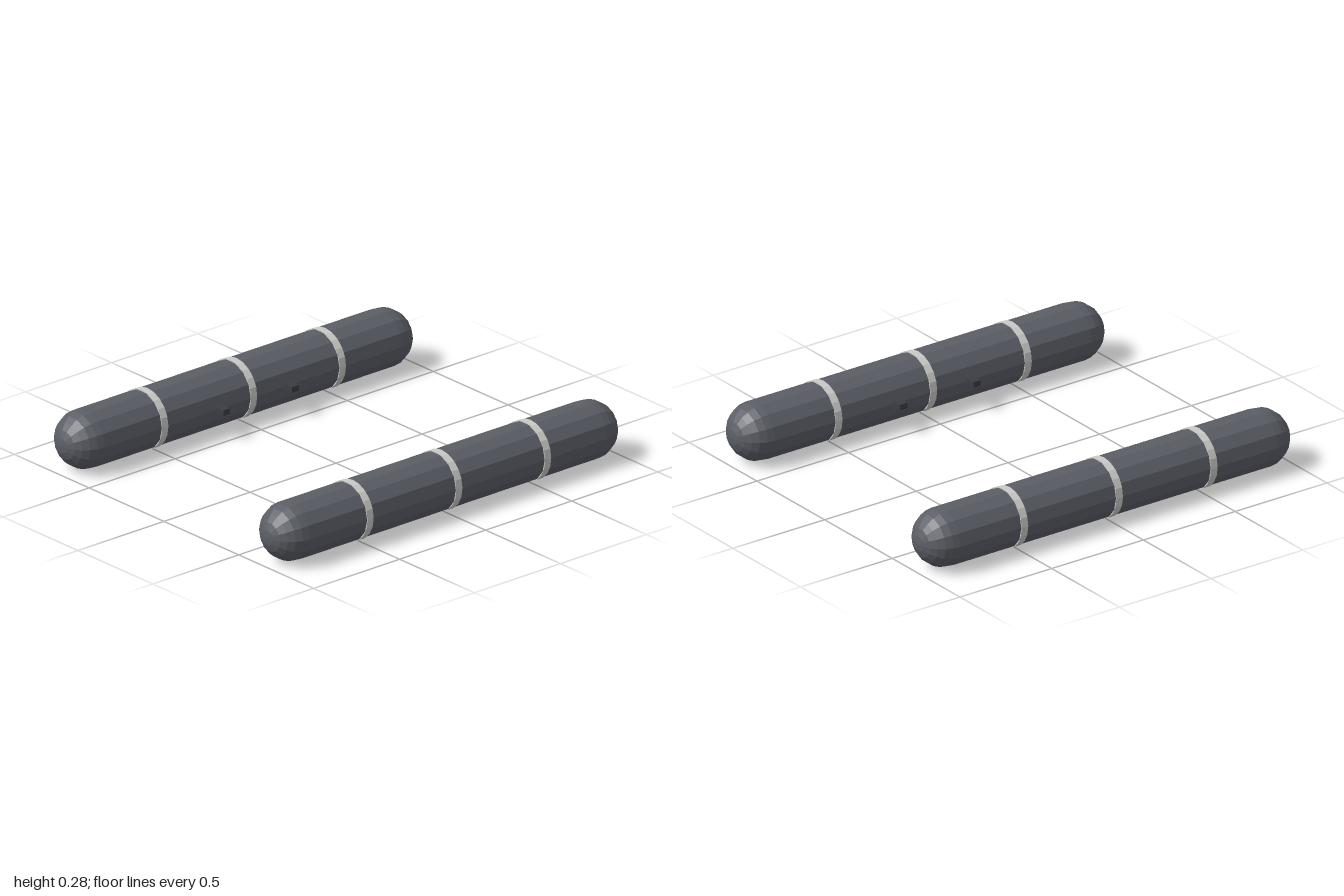
import * as THREE from 'three';

const R = 0.136;        // float radius
const CY = 0.139;       // axis height
const CX = 0.686;       // axis offset from the centre

export function createModel() {
  const model = new THREE.Group();
  model.name = 'floatPair';

  const mat = (name, color) => {
    const m = new THREE.MeshStandardMaterial({ color, flatShading: true });
    m.name = name;
    return m;
  };
  const grey = mat('slateGrey', 0x5b5e66);
  const pale = mat('paleGrey', 0xcbccc8);
  const dark = mat('darkGrey', 0x3a3d43);

  const tubeGeo = new THREE.CapsuleGeometry(R, 2 - 2 * R, 6, 14).rotateX(Math.PI / 2);
  const bandGeo = new THREE.CylinderGeometry(0.1388, 0.1388, 0.036, 20).rotateX(Math.PI / 2);
  const pegGeo = new THREE.BoxGeometry(0.1, 0.027, 0.04);

  for (const side of [1, -1]) {
    const float = new THREE.Group();
    float.name = side > 0 ? 'leftFloat' : 'rightFloat';
    float.position.set(side * CX, CY, 0);
    const add = (name, geo, material, x, z) => {
      const mesh = new THREE.Mesh(geo, material);
      mesh.name = name;
      mesh.position.set(x, 0, z);
      float.add(mesh);
    };

    // Long round-ended tube
    add('tube', tubeGeo, grey, 0, 0);
    // Three bands around the tube
    for (const z of [-0.516, 0, 0.516]) add('band', bandGeo, pale, 0, z);
    // Two mounting pegs on the inner side
    for (const z of [-0.2, 0.2]) add('mountPeg', pegGeo, dark, -side * (CX - 0.55), z);

    model.add(float);
  }
  return model;
}
